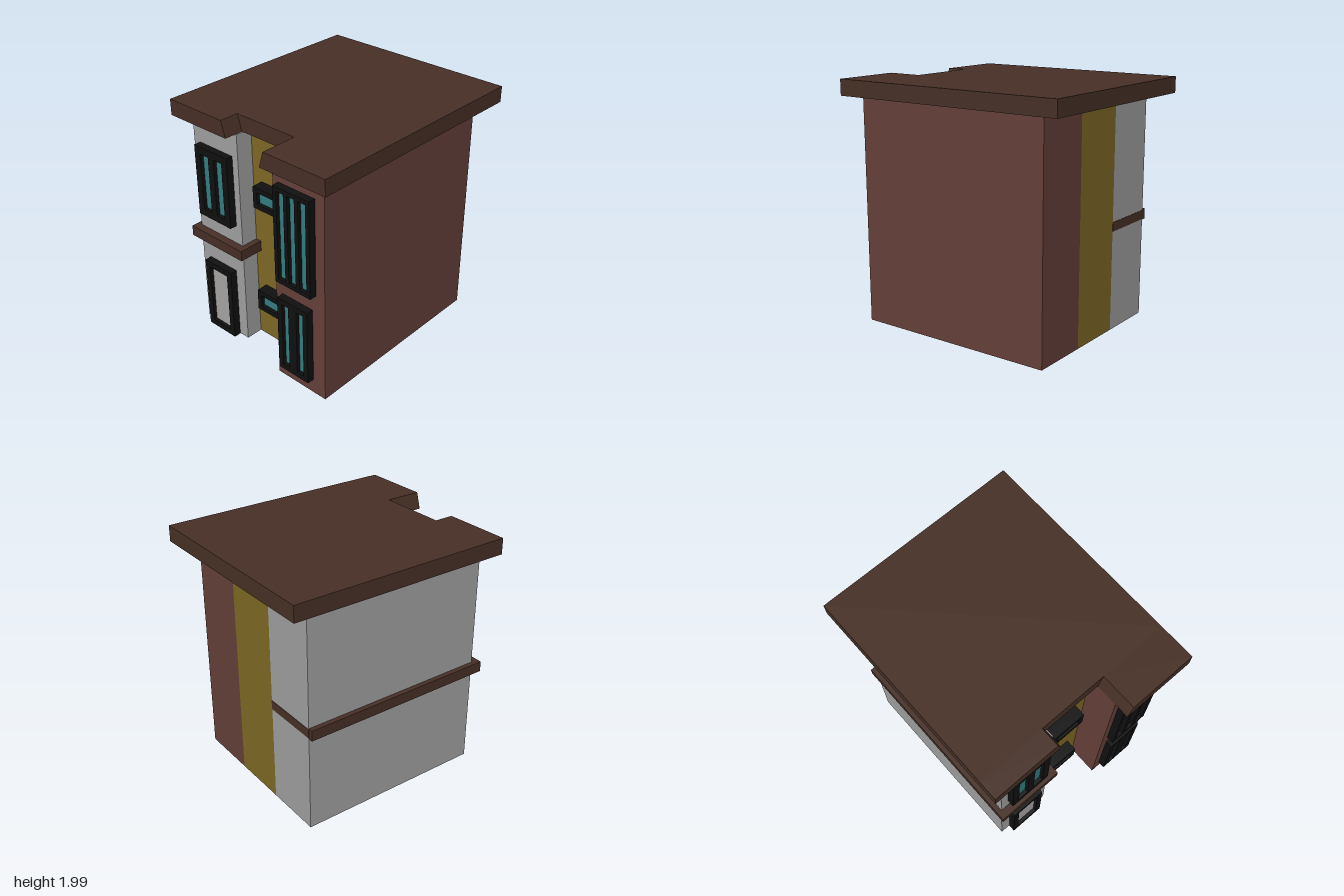
import * as THREE from 'three';

const mat = (name, color) => {
  const m = new THREE.MeshStandardMaterial({ color });
  m.name = name;
  return m;
};

export function createModel() {
  const red = mat('red brown wall', 0x643f38);
  const yellow = mat('ochre wall', 0x7d6725);
  const grey = mat('grey wall', 0x9d9e9d);
  const brown = mat('dark brown trim', 0x462f25);
  const black = mat('black frame', 0x101010);
  const teal = mat('teal glass', 0x327c80);
  const pale = mat('door panel grey', 0xa5a2a2);

  const model = new THREE.Group();
  model.name = 'building';

  const add = (parent, name, geometry, material) => {
    const m = new THREE.Mesh(geometry, material);
    m.name = name;
    parent.add(m);
    return m;
  };

  // box given by its limits on each axis
  const block = (name, material, [x0, x1], [y0, y1], [z0, z1]) => {
    const g = new THREE.BoxGeometry(x1 - x0, y1 - y0, z1 - z0);
    g.translate((x0 + x1) / 2, (y0 + y1) / 2, (z0 + z1) / 2);
    return add(model, name, g, material);
  };

  // outline in (z, y), extruded from x towards -x
  const extrudeToSide = (shape, x, depth) => {
    const g = new THREE.ExtrudeGeometry(shape, { depth, bevelEnabled: false });
    g.rotateY(-Math.PI / 2);
    g.translate(x, 0, 0);
    return g;
  };
  const polygon = (pts) => new THREE.Shape(pts.map(([z, y]) => new THREE.Vector2(z, y)));

  // three wall sections of different widths
  const wallY = [0.005, 1.855];
  block('frontSection', red, [-0.88, 0.815], wallY, [0.24, 0.725]);
  block('middleSection', yellow, [-0.62, 0.815], wallY, [-0.24, 0.24]);
  block('backSection', grey, [-0.765, 0.815], wallY, [-0.72, -0.24]);

  // roof slab with a notch whose side edges slope
  const top = 1.985, low = 1.855;
  block('roofSlab', brown, [-0.7, 1], [low, top], [-0.85, 0.845]);
  add(model, 'roofFrontEave', extrudeToSide(
    polygon([[0.24, low], [0.845, low], [0.845, top], [0.28, top]]), -0.7, 0.3), brown);
  add(model, 'roofBackEave', extrudeToSide(
    polygon([[-0.85, low], [-0.25, low], [-0.29, top], [-0.85, top]]), -0.7, 0.16), brown);

  // floor band around the back section
  block('backBand', brown, [-0.83, 0.815], [0.815, 0.902], [-0.76, -0.715]);
  block('sideBand', brown, [0.78, 0.818], [0.82, 0.895], [-0.72, -0.24]);
  block('innerBand', brown, [-0.83, -0.6], [0.815, 0.902], [-0.72, -0.19]);

  // framed opening on a -x wall, split into equal recessed panes
  const opening = (name, wallX, depth, [z0, z1], [y0, y1], panes, border, bar, paneMat = teal) => {
    const group = new THREE.Group();
    group.name = name;
    model.add(group);
    const outline = polygon([[z0, y0], [z1, y0], [z1, y1], [z0, y1]]);
    const w = (z1 - z0 - 2 * border - (panes - 1) * bar) / panes;
    const b = y0 + border, t = y1 - border;
    for (let i = 0; i < panes; i++) {
      const a = z0 + border + i * (w + bar), c = a + w;
      outline.holes.push(polygon([[a, b], [a, t], [c, t], [c, b]]));
      const g = new THREE.PlaneGeometry(w, t - b);
      g.rotateY(-Math.PI / 2);
      g.translate(wallX - depth + 0.03, (b + t) / 2, (a + c) / 2);
      add(group, 'pane', g, paneMat);
    }
    add(group, 'frame', extrudeToSide(outline, wallX, depth), black);
  };

  opening('frontUpperWindow', -0.88, 0.06, [0.295, 0.64], [0.92, 1.715], 3, 0.035, 0.035);
  opening('frontLowerWindow', -0.88, 0.06, [0.305, 0.605], [0.13, 0.78], 2, 0.045, 0.08);
  opening('backUpperWindow', -0.765, 0.06, [-0.655, -0.3], [1.06, 1.66], 2, 0.06, 0.06);
  opening('door', -0.765, 0.06, [-0.635, -0.335], [0, 0.63], 1, 0.05, 0, pale);
  for (const [name, y] of [['middleUpperWindow', 1.355], ['middleLowerWindow', 0.415]]) {
    opening(name, -0.62, 0.095, [-0.15, 0.14], [y - 0.09, y + 0.09], 1, 0.04, 0);
  }

  return model;
}
